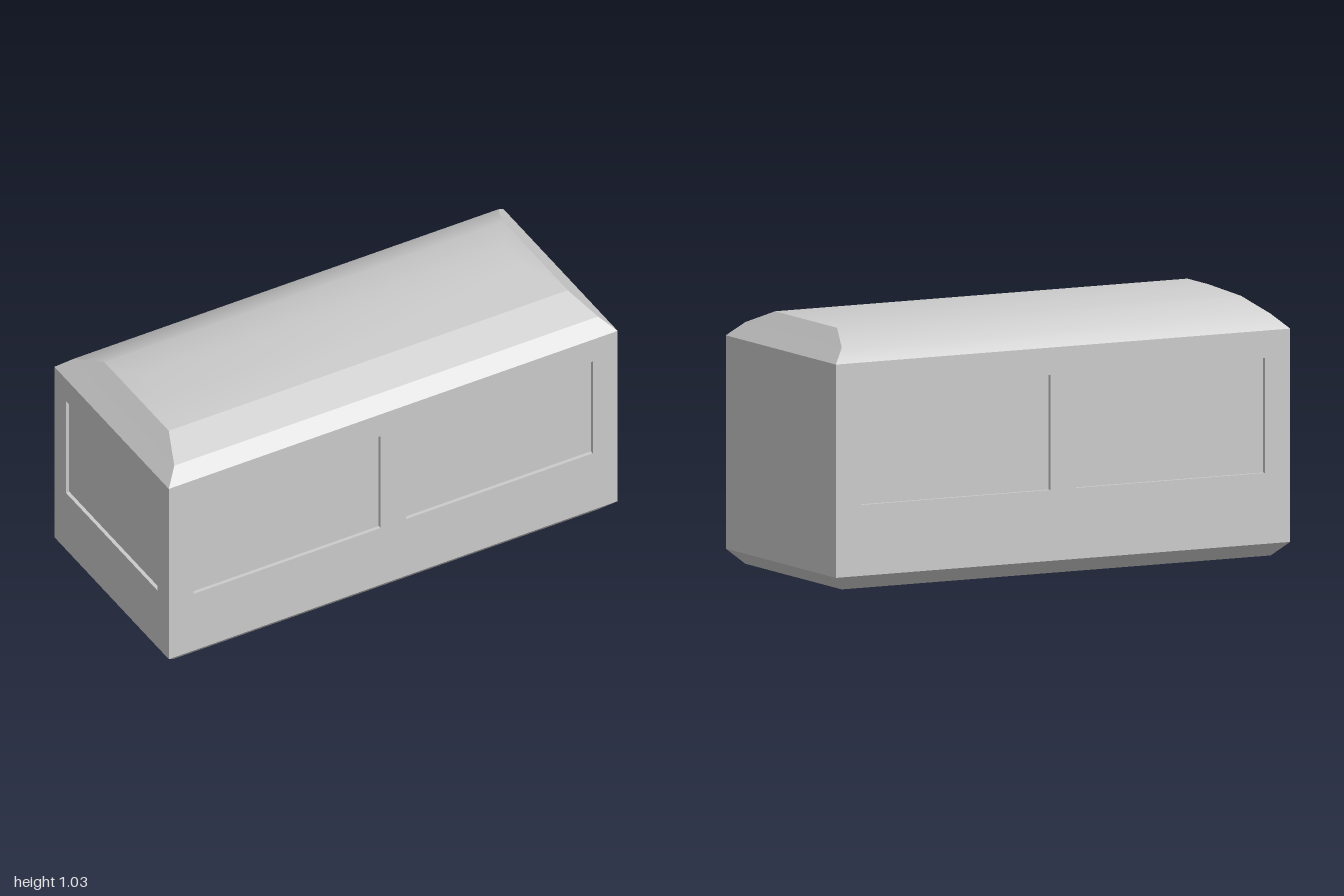
import * as THREE from 'three';
import { toCreasedNormals } from 'three/addons/utils/BufferGeometryUtils.js';

const material = new THREE.MeshStandardMaterial({ color: 0xcccccc });
const HALF_X = 1, HALF_Z = 0.444, SILL = 0.056, EAVE = 0.889, RECESS = 0.015;

// Rectangular levels, each: y, left x, right x, half depth
const UNDER = [[0, 0.944, -0.944, 0.389], [SILL, HALF_X, -HALF_X, HALF_Z]];
const ROOF = [
  [EAVE, HALF_X, -HALF_X, HALF_Z],
  [0.944, 0.944, -0.944, 0.389],
  [1.0, 0.889, -0.889, 0.25],
  [1.028, 0.805, -0.835, 0.083],
];

// Corners run front left, back left, back right, front right
const corners = ([y, a, b, z]) => [[a, y, z], [a, y, -z], [b, y, -z], [b, y, z]];

function quads(list) {
  const pos = list.flatMap(([a, b, c, d]) => [a, b, c, a, c, d].flat());
  const g = new THREE.BufferGeometry();
  g.setAttribute('position', new THREE.Float32BufferAttribute(pos, 3));
  g.computeVertexNormals();
  return g;
}

// One side of the frustum between two levels
function side(lower, upper, i) {
  const l = corners(lower), u = corners(upper), j = (i + 1) % 4;
  return [l[i], l[j], u[j], u[i]];
}

function add(parent, name, geometry) {
  const mesh = new THREE.Mesh(geometry, material);
  mesh.name = name;
  parent.add(mesh);
  return mesh;
}

// Wall panel with window openings, facing +z before it is turned
function wallPanel(halfWidth, windows) {
  const rect = (path, x0, x1, y0, y1) => {
    path.moveTo(x0, y0).lineTo(x1, y0).lineTo(x1, y1).lineTo(x0, y1).closePath();
    return path;
  };
  const shape = rect(new THREE.Shape(), -halfWidth, halfWidth, SILL, EAVE);
  for (const [x0, x1] of windows) shape.holes.push(rect(new THREE.Path(), x0, x1, 0.333, 0.782));
  return new THREE.ExtrudeGeometry(shape, { depth: RECESS, bevelEnabled: false });
}

export function createModel() {
  const model = new THREE.Group();
  model.name = 'carriage';

  // Inner body whose faces are the recessed window panes
  const core = add(model, 'windowPanes', new THREE.BoxGeometry(
    2 * (HALF_X - RECESS), EAVE - SILL, 2 * (HALF_Z - RECESS)));
  core.position.y = (EAVE + SILL) / 2;

  // Four walls; only one end has a window
  const pair = [[-0.889, -0.056], [0.056, 0.889]];
  const walls = [
    ['frontWall', HALF_X, HALF_Z, 0, pair],
    ['backWall', HALF_X, HALF_Z, Math.PI, pair],
    ['leftEndWall', HALF_Z, HALF_X, Math.PI / 2, []],
    ['rightEndWall', HALF_Z, HALF_X, -Math.PI / 2, [[-0.355, 0.355]]],
  ];
  for (const [name, halfWidth, distance, turn, windows] of walls) {
    const g = wallPanel(halfWidth, windows);
    g.translate(0, 0, distance - RECESS);
    add(model, name, g).rotation.y = turn;
  }

  // Chamfered underside
  const under = [0, 1, 2, 3].map((i) => side(UNDER[0], UNDER[1], i));
  under.push(corners(UNDER[0]).reverse());
  add(model, 'underside', quads(under));

  // Roof: faceted front slopes and ends, softly rounded crown and back
  const facets = [], soft = [corners(ROOF[3])];
  for (let k = 0; k < 3; k++) {
    for (let i = 0; i < 4; i++) {
      const faceted = k < 2 && i !== 1;
      (faceted ? facets : soft).push(side(ROOF[k], ROOF[k + 1], i));
    }
  }
  add(model, 'roofSlopes', quads(facets));
  add(model, 'roofCrown', toCreasedNormals(quads(soft), Math.PI / 6));

  return model;
}
